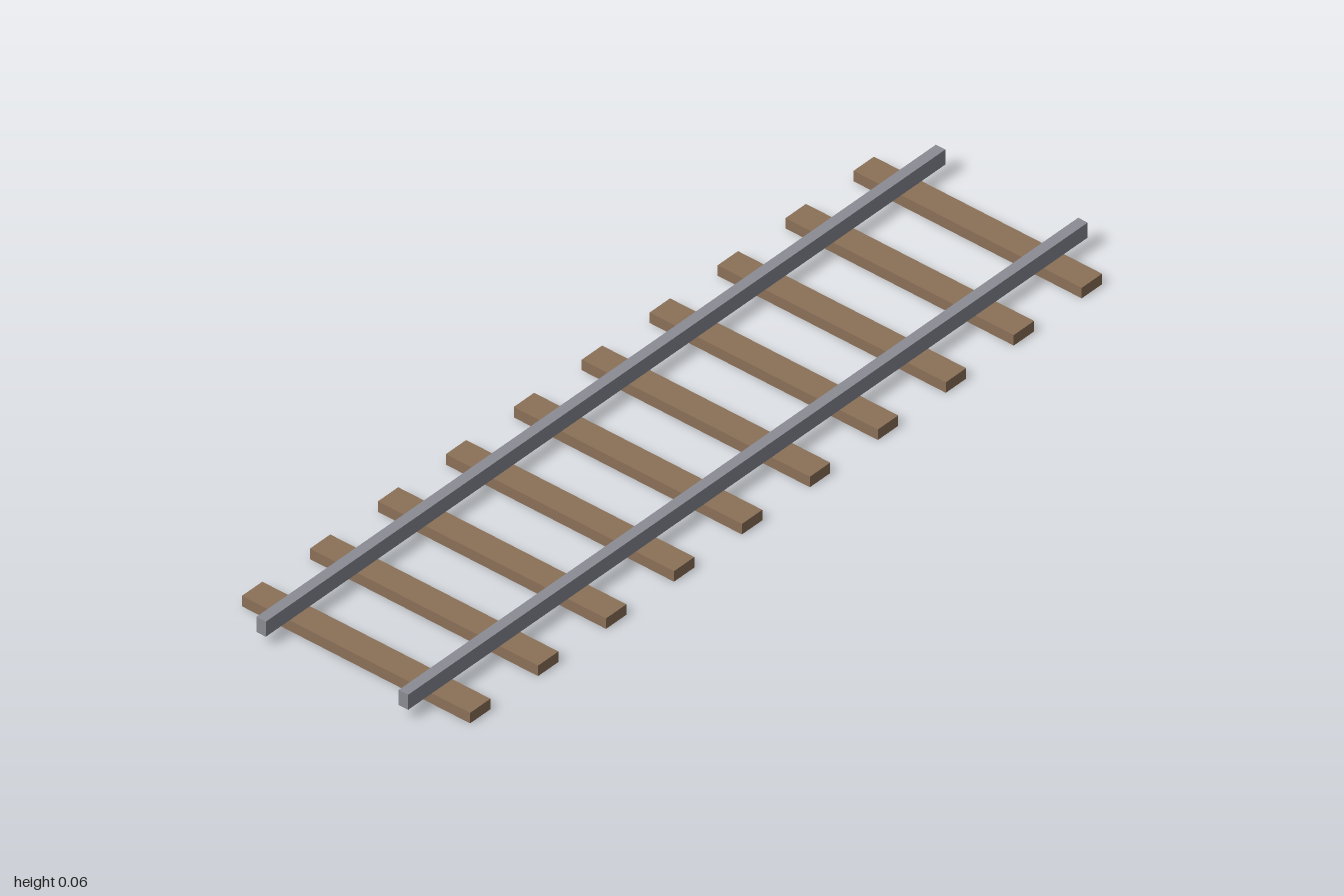
import * as THREE from 'three';

export function createModel() {
  const track = new THREE.Group();
  track.name = 'railwayTrack';

  const wood = new THREE.MeshStandardMaterial({ color: 0x8b7058 });
  const steel = new THREE.MeshStandardMaterial({ color: 0x8a8c94 });

  const tieHeight = 0.025, railHeight = 0.036;

  function addBox(name, size, position, material) {
    const mesh = new THREE.Mesh(new THREE.BoxGeometry(...size), material);
    mesh.name = name;
    mesh.position.set(...position);
    track.add(mesh);
  }

  // Evenly spaced wooden ties
  for (let i = 0; i < 10; i++) {
    addBox(`tie${i + 1}`, [0.06, tieHeight, 0.577], [-0.9 + i * 0.2, tieHeight / 2, 0], wood);
  }

  // Two steel rails resting on the ties
  for (const side of [1, -1]) {
    addBox(side > 0 ? 'frontRail' : 'backRail', [2, railHeight, 0.024],
      [0, tieHeight + railHeight / 2, side * 0.18], steel);
  }

  return track;
}
